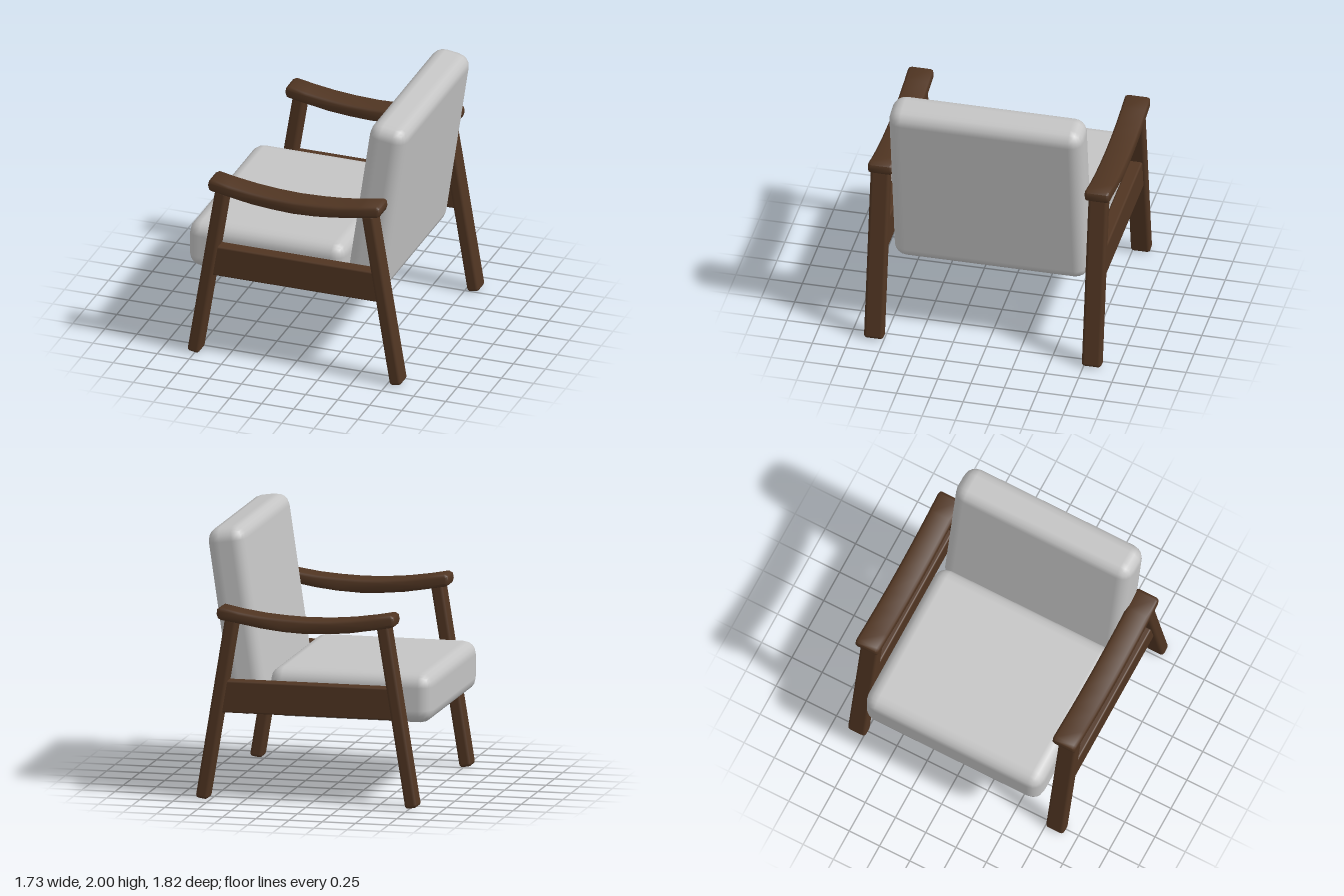
import * as THREE from 'three';
import { toCreasedNormals } from 'three/addons/utils/BufferGeometryUtils.js';
import { RoundedBoxGeometry } from 'three/addons/geometries/RoundedBoxGeometry.js';

const wood = new THREE.MeshStandardMaterial({ color: 0x503522 });
wood.name = 'walnut wood';
const fabric = new THREE.MeshStandardMaterial({ color: 0xc4c4c4 });
fabric.name = 'light grey fabric';

function roundedBox(name, material, size, radius, position, lean = 0) {
  const mesh = new THREE.Mesh(new RoundedBoxGeometry(...size, 2, radius), material);
  mesh.name = name;
  mesh.position.set(...position);
  mesh.rotation.z = lean;
  return mesh;
}

// Sagging armrest: side profile extruded across its width with soft edges
function armrestGeometry() {
  const profile = [
    [-0.635, 1.355], [-0.61, 1.345], [-0.5, 1.325], [-0.31, 1.293], [-0.15, 1.278], [0.025, 1.27],
    [0.2, 1.278], [0.36, 1.296], [0.55, 1.328], [0.665, 1.345], [0.69, 1.358],
    [0.7, 1.39], [0.695, 1.425], [0.67, 1.44],
    [0.53, 1.412], [0.36, 1.388], [0.2, 1.376], [0.025, 1.37], [-0.15, 1.376], [-0.31, 1.39],
    [-0.48, 1.415], [-0.61, 1.44], [-0.637, 1.425], [-0.645, 1.39],
  ];
  const shape = new THREE.Shape(profile.map(([x, y]) => new THREE.Vector2(x, y)));
  const width = 0.188, bevel = 0.022;
  const geometry = new THREE.ExtrudeGeometry(shape, {
    depth: width - 2 * bevel,
    bevelThickness: bevel, bevelSize: bevel, bevelOffset: -bevel, bevelSegments: 2,
  });
  geometry.translate(0, 0, bevel - width / 2);
  return toCreasedNormals(geometry, 0.9);
}

export function createModel() {
  const chair = new THREE.Group();
  chair.name = 'armchair';

  // Cushions
  chair.add(roundedBox('seatCushion', fabric, [1.225, 0.37, 1.46], 0.1, [-0.26, 0.787, 0.005]));
  chair.add(roundedBox('backCushion', fabric, [0.294, 1.4, 1.46], 0.1, [0.59, 1.302, 0.005], -0.145));

  // Side frames: two splayed legs, a rail and an armrest each
  const armGeometry = armrestGeometry();
  for (const [side, legZ, armZ] of [['left', 0.826, 0.814], ['right', -0.81, -0.814]]) {
    const frame = new THREE.Group();
    frame.name = side + 'Frame';
    frame.add(roundedBox('frontLeg', wood, [0.093, 1.37, 0.147], 0.025, [-0.654, 0.681, legZ], -0.16));
    frame.add(roundedBox('backLeg', wood, [0.093, 1.37, 0.147], 0.025, [0.707, 0.681, legZ], 0.163));
    frame.add(roundedBox('sideRail', wood, [1.3, 0.24, 0.1], 0.015, [0.03, 0.77, legZ]));
    const arm = new THREE.Mesh(armGeometry, wood);
    arm.name = 'armrest';
    arm.position.z = armZ;
    frame.add(arm);
    chair.add(frame);
  }
  return chair;
}
